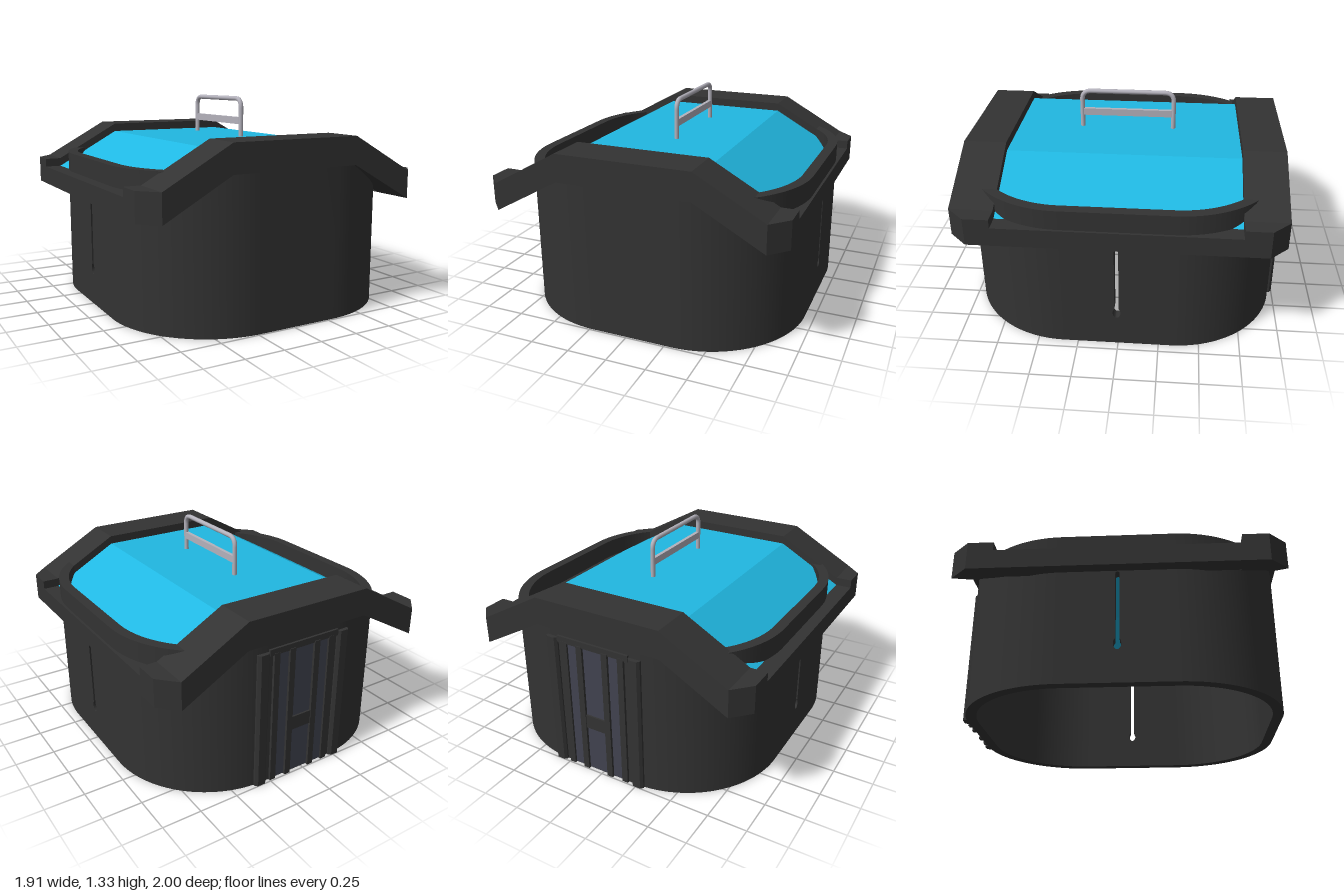
import * as THREE from 'three';
import { toCreasedNormals } from 'three/addons/utils/BufferGeometryUtils.js';

const dark = new THREE.MeshStandardMaterial({ color: 0x333333 });
const blue = new THREE.MeshStandardMaterial({ color: 0x20b8e2, side: THREE.DoubleSide });
const metal = new THREE.MeshStandardMaterial({ color: 0xb4b2bc });
const glass = new THREE.MeshStandardMaterial({ color: 0x414350 });

function add(parent, name, geometry, material, x = 0, y = 0, z = 0) {
  const mesh = new THREE.Mesh(geometry, material);
  mesh.name = name;
  mesh.position.set(x, y, z);
  parent.add(mesh);
  return mesh;
}

// Box given by its limits on each axis
function block(parent, name, material, x0, x1, y0, y1, z0, z1) {
  return add(parent, name, new THREE.BoxGeometry(x1 - x0, y1 - y0, z1 - z0), material,
    (x0 + x1) / 2, (y0 + y1) / 2, (z0 + z1) / 2);
}

const extrude = (shape, depth, curveSegments = 16) =>
  toCreasedNormals(new THREE.ExtrudeGeometry(shape, { depth, bevelEnabled: false, curveSegments }), 0.5);
const polygon = (pts) => new THREE.Shape(pts.map(([x, y]) => new THREE.Vector2(x, y)));

// Hollow wall with large rounded corners and a keyhole slot in each side
function makeWall() {
  const wall = new THREE.Group();
  wall.name = 'wall';
  wall.position.set(0.03, 0, 0.0075);
  const W = 0.91, D = 0.983, R = 0.65, T = 0.065, H = 0.945;
  const cx = W - R, cz = D - R;

  const half = new THREE.Shape();
  half.moveTo(W, cz);
  half.absarc(cx, cz, R, 0, Math.PI / 2);
  half.absarc(-cx, cz, R, Math.PI / 2, Math.PI);
  half.lineTo(-W + T, cz);
  half.absarc(-cx, cz, R - T, Math.PI, Math.PI / 2, true);
  half.absarc(cx, cz, R - T, Math.PI / 2, 0, true);
  half.closePath();
  const halfGeo = extrude(half, H).rotateX(-Math.PI / 2);
  add(wall, 'backWall', halfGeo, dark);
  add(wall, 'frontWall', halfGeo, dark).rotation.y = Math.PI;

  const side = polygon([[-cz, 0], [cz, 0], [cz, H], [-cz, H]]);
  const slot = new THREE.Path();
  slot.moveTo(0.013, 0.265);
  slot.lineTo(0.013, 0.682);
  slot.absarc(0, 0.682, 0.013, 0, Math.PI);
  slot.lineTo(-0.013, 0.265);
  slot.absellipse(0, 0.235, 0.024, 0.036, Math.PI - 0.998, 2 * Math.PI + 0.998);
  side.holes.push(slot);
  const sideGeo = extrude(side, T, 10).rotateY(Math.PI / 2);
  add(wall, 'leftWall', sideGeo, dark, W - T);
  add(wall, 'rightWall', sideGeo, dark, -W);
  return wall;
}

// Arched beams front and back, chamfered corner blocks and lower side rails
function makeFrame() {
  const frame = new THREE.Group();
  frame.name = 'roofFrame';
  const arch = polygon([[-0.85, 0.7], [-0.425, 0.935], [0.425, 0.935], [0.85, 0.7],
    [0.85, 0.875], [0.425, 1.11], [-0.425, 1.11], [-0.85, 0.875]]);
  const archGeo = extrude(arch, 0.265);
  add(frame, 'frontBeam', archGeo, dark, 0, 0, 0.735);
  add(frame, 'backBeam', archGeo, dark, 0, 0, -0.985);

  const ends = [[1, 0.735, 1.0, 0.89], [-1, -0.72, -0.985, -0.875]];
  for (const s of [1, -1]) {
    for (const [dir, inner, outer, cut] of ends) {
      const pts = [[0.85, inner], [0.955, inner], [0.955, cut], [0.85, outer]];
      const corner = polygon(pts.map(([x, z]) => [s * x, -z]));
      add(frame, dir > 0 ? 'frontCorner' : 'backCorner',
        extrude(corner, 0.175).rotateX(-Math.PI / 2), dark, 0, 0.7);
    }
    block(frame, 'sideRail', dark, Math.min(s * 0.85, s * 0.955), Math.max(s * 0.85, s * 0.955),
      0.7, 0.82, -0.72, 0.735);
  }
  return frame;
}

// Thin folded cover between the beams
function makeCover() {
  const geo = new THREE.PlaneGeometry(3, 1.455, 3, 1).rotateX(-Math.PI / 2);
  const p = geo.attributes.position;
  for (let i = 0; i < p.count; i++) {
    const x = p.getX(i), outer = Math.abs(x) > 1;
    p.setX(i, Math.sign(x) * (outer ? 0.85 : 0.425));
    p.setY(i, outer ? 0.82 : 1.055);
  }
  const flat = geo.toNonIndexed();
  flat.computeVertexNormals();
  return flat;
}

// Rounded tube handle with a flat crossbar
function makeHandle() {
  const handle = new THREE.Group();
  handle.name = 'handle';
  handle.position.set(0.045, 0, 0.01);
  const w = 0.298, y0 = 1.07, y1 = 1.315, r = 0.06;
  const v = (y, z) => new THREE.Vector3(0, y, z);
  const path = new THREE.CurvePath();
  path.add(new THREE.LineCurve3(v(y0, w), v(y1 - r, w)));
  path.add(new THREE.QuadraticBezierCurve3(v(y1 - r, w), v(y1, w), v(y1, w - r)));
  path.add(new THREE.LineCurve3(v(y1, w - r), v(y1, r - w)));
  path.add(new THREE.QuadraticBezierCurve3(v(y1, r - w), v(y1, -w), v(y1 - r, -w)));
  path.add(new THREE.LineCurve3(v(y1 - r, -w), v(y0, -w)));
  add(handle, 'handleTube', new THREE.TubeGeometry(path, 90, 0.015, 12), metal);
  for (const s of [1, -1]) {
    add(handle, 'handleFoot', new THREE.CircleGeometry(0.015, 12).rotateX(Math.PI / 2), metal, 0, y0, s * w);
  }
  block(handle, 'crossbar', metal, -0.012, 0.012, 1.15, 1.195, -w, w);
  return handle;
}

// Back door: three dark panes between upright posts, a header and a centre bar
function makeDoor() {
  const door = new THREE.Group();
  door.name = 'backDoor';
  door.position.x = 0.03;
  block(door, 'panes', glass, -0.2, 0.2, 0.005, 0.87, -0.979, -0.96);
  block(door, 'header', dark, -0.25, 0.25, 0.86, 0.9, -0.99, -0.96);
  block(door, 'centreBar', dark, -0.07, 0.07, 0.31, 0.4, -0.99, -0.96);
  for (const s of [1, -1]) {
    const post = (name, a, b, top, z) =>
      block(door, name, dark, Math.min(s * a, s * b), Math.max(s * a, s * b), 0, top, z, -0.95);
    post('mullion', 0.07, 0.11, 0.87, -0.995);
    post('innerPost', 0.18, 0.22, 0.87, -0.992);
    const outer = polygon([[0.25, 0.95], [0.33, 0.95], [0.33, 0.985], [0.315, 1.0], [0.265, 1.0], [0.25, 0.985]]
      .map(([x, y]) => [s * x, y]));
    add(door, 'outerPost', extrude(outer, 0.885).rotateX(-Math.PI / 2), dark);
  }
  return door;
}

export function createModel() {
  const model = new THREE.Group();
  model.name = 'coveredTub';
  model.add(makeWall(), makeFrame(), makeHandle(), makeDoor());
  add(model, 'cover', makeCover(), blue, 0, 0, 0.0075);
  return model;
}
